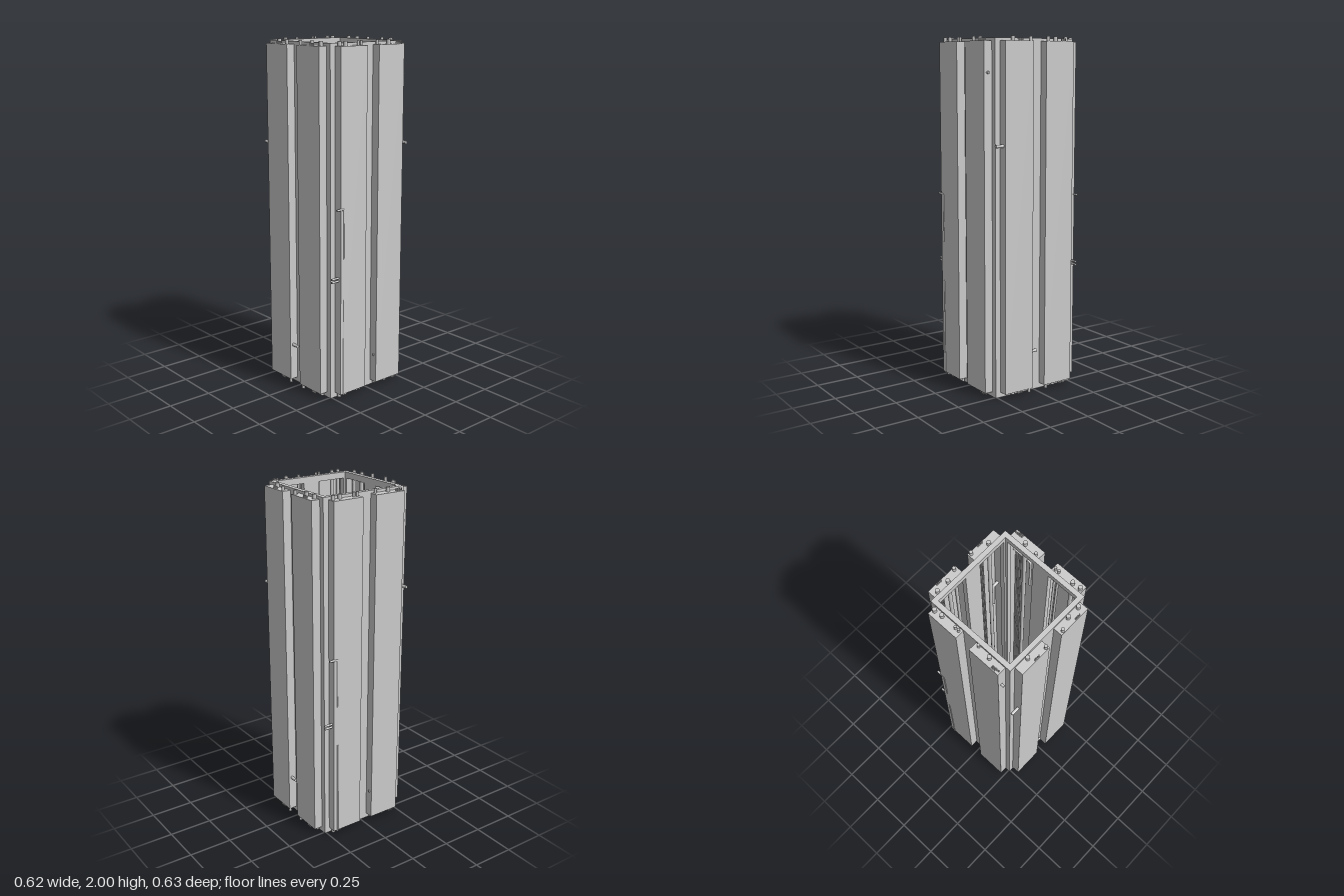
import * as THREE from 'three';

const material = new THREE.MeshStandardMaterial({ color: 0xcccccc, side: THREE.DoubleSide });

const WALL_IN = 0.233, WALL_OUT = 0.26, COVER_OUT = 0.31, SKIN = 0.002;
const FRAME_Y0 = 0.005, FRAME_Y1 = 1.99, COVER_Y0 = 0.035, COVER_Y1 = 1.975;
const BAYS = [[-0.229, -0.043], [0.041, 0.229]];

function add(group, name, geometry, x = 0, y = 0, z = 0) {
  const mesh = new THREE.Mesh(geometry, material);
  mesh.name = name;
  mesh.position.set(x, y, z);
  group.add(mesh);
  return mesh;
}

function box(group, name, x0, x1, y0, y1, z0, z1) {
  add(group, name, new THREE.BoxGeometry(x1 - x0, y1 - y0, z1 - z0),
    (x0 + x1) / 2, (y0 + y1) / 2, (z0 + z1) / 2);
}

// Straight upright pipe, standing slightly proud of the cover at both ends
function upright(group, name, x, z, r, y0 = 0.012, y1 = 2) {
  add(group, name, new THREE.CylinderGeometry(r, r, y1 - y0, 16), x, (y0 + y1) / 2, z);
}

// Pipe through corner points, with rounded elbows
function bentPipe(group, name, points, r, bend = 0.02) {
  const pts = points.map((p) => new THREE.Vector3(...p));
  const path = new THREE.CurvePath();
  let from = pts[0];
  for (let i = 1; i < pts.length - 1; i++) {
    const a = pts[i].clone().add(pts[i - 1].clone().sub(pts[i]).setLength(bend));
    const b = pts[i].clone().add(pts[i + 1].clone().sub(pts[i]).setLength(bend));
    path.add(new THREE.LineCurve3(from, a));
    path.add(new THREE.QuadraticBezierCurve3(a, pts[i], b));
    from = b;
  }
  path.add(new THREE.LineCurve3(from, pts[pts.length - 1]));
  add(group, name, new THREE.TubeGeometry(path, 100, r, 12));
  // End caps
  for (const t of [0, 1]) {
    const tangent = path.getTangentAt(t).multiplyScalar(t ? 1 : -1);
    const cap = add(group, name + 'End', new THREE.CircleGeometry(r, 12), ...path.getPointAt(t).toArray());
    cap.quaternion.setFromUnitVectors(new THREE.Vector3(0, 0, 1), tangent);
  }
}

// Frame wall with a tall opening behind each cover
function frameWall(group, halfWidth) {
  const rect = (path, x0, x1, y0, y1) =>
    path.moveTo(x0, y0).lineTo(x1, y0).lineTo(x1, y1).lineTo(x0, y1).closePath();
  const shape = rect(new THREE.Shape(), -halfWidth, halfWidth, FRAME_Y0, FRAME_Y1);
  for (const [x0, x1] of BAYS) {
    shape.holes.push(rect(new THREE.Path(), x0 + 0.008, x1 - 0.008, 0.05, 1.955));
  }
  const geometry = new THREE.ExtrudeGeometry(shape, { depth: WALL_OUT - WALL_IN, bevelEnabled: false });
  add(group, 'frameWall', geometry, 0, 0, WALL_IN);
}

// Hollow duct cover, open towards the frame
function cover(group, [x0, x1]) {
  const duct = new THREE.Group();
  duct.name = 'ductCover';
  box(duct, 'coverFace', x0, x1, COVER_Y0, COVER_Y1, COVER_OUT - SKIN, COVER_OUT);
  box(duct, 'coverSide', x0, x0 + SKIN, COVER_Y0, COVER_Y1, WALL_OUT, COVER_OUT);
  box(duct, 'coverSide', x1 - SKIN, x1, COVER_Y0, COVER_Y1, WALL_OUT, COVER_OUT);
  box(duct, 'coverBottom', x0, x1, COVER_Y0, COVER_Y0 + SKIN, WALL_OUT, COVER_OUT);
  box(duct, 'coverTop', x0, x1, COVER_Y1 - SKIN, COVER_Y1, WALL_OUT, COVER_OUT);
  group.add(duct);
}

// Row of thin cables
function cables(group, x, z, count, step = 0.009) {
  for (let i = 0; i < count; i++) upright(group, 'cable', x + i * step, z, 0.0032, 0.02, 1.99);
}

function wall(name, halfWidth) {
  const group = new THREE.Group();
  group.name = name;
  frameWall(group, halfWidth);
  BAYS.forEach((bay) => cover(group, bay));
  return group;
}

function serviceWall() {
  const g = wall('serviceWall', WALL_OUT);
  // Uprights: x, z, radius
  const pipes = [
    [-0.214, 0.28, 0.011], [-0.169, 0.276, 0.011], [-0.08, 0.276, 0.007], [-0.059, 0.276, 0.007],
    [0.064, 0.268, 0.008], [0.141, 0.276, 0.011],
  ];
  for (const [x, z, r] of pipes) upright(g, 'uprightPipe', x, z, r);
  cables(g, 0.182, 0.302, 3);
  cables(g, 0.182, 0.294, 5);

  // Surface pipe with a hooked top, then a second run lower down
  bentPipe(g, 'hookedPipe', [[-0.256, 1.11, 0.307], [-0.205, 1.11, 0.307], [-0.205, 0.83, 0.307], [-0.205, 0.82, 0.29]], 0.006, 0.009);
  bentPipe(g, 'lowerSurfacePipe', [[-0.205, 0.605, 0.29], [-0.205, 0.595, 0.307], [-0.205, 0.03, 0.307]], 0.006, 0.005);

  // Side outlets
  for (const y of [0.705, 0.722]) {
    bentPipe(g, 'sideOutlet', [[-0.278, y, 0.289], [-0.12, y, 0.289]], 0.006);
  }
  bentPipe(g, 'upperOutlet', [[0.247, 1.808, 0.289], [0.11, 1.808, 0.289], [0.11, 1.55, 0.289]], 0.007);
  bentPipe(g, 'lowerOutlet', [[0.035, 0.2, 0.289], [0.11, 0.2, 0.289], [0.11, 0.4, 0.289]], 0.007);
  return g;
}

function supplyWall() {
  const g = wall('supplyWall', WALL_IN);
  const pipes = [
    [-0.057, 0.298, 0.009], [-0.155, 0.273, 0.011],
    [0.2, 0.273, 0.011], [0.128, 0.273, 0.011], [0.061, 0.298, 0.009],
  ];
  for (const [x, z, r] of pipes) upright(g, 'uprightPipe', x, z, r);
  cables(g, -0.137, 0.303, 4);
  cables(g, 0.148, 0.303, 4);
  bentPipe(g, 'upperOutlet', [[-0.277, 1.42, 0.289], [-0.19, 1.42, 0.289], [-0.19, 1.2, 0.289]], 0.009);
  bentPipe(g, 'lowerOutlet', [[-0.002, 0.247, 0.289], [-0.09, 0.247, 0.289], [-0.09, 0.45, 0.289]], 0.009);
  return g;
}

export function createModel() {
  const model = new THREE.Group();
  model.name = 'serviceShaft';
  // Two wall types, each repeated on the opposite side
  for (const turn of [0, Math.PI]) {
    const service = serviceWall();
    service.rotation.y = turn;
    const supply = supplyWall();
    supply.rotation.y = turn + Math.PI / 2;
    model.add(service, supply);
  }
  model.position.y = -FRAME_Y0;
  const root = new THREE.Group();
  root.name = 'model';
  root.add(model);
  return root;
}
